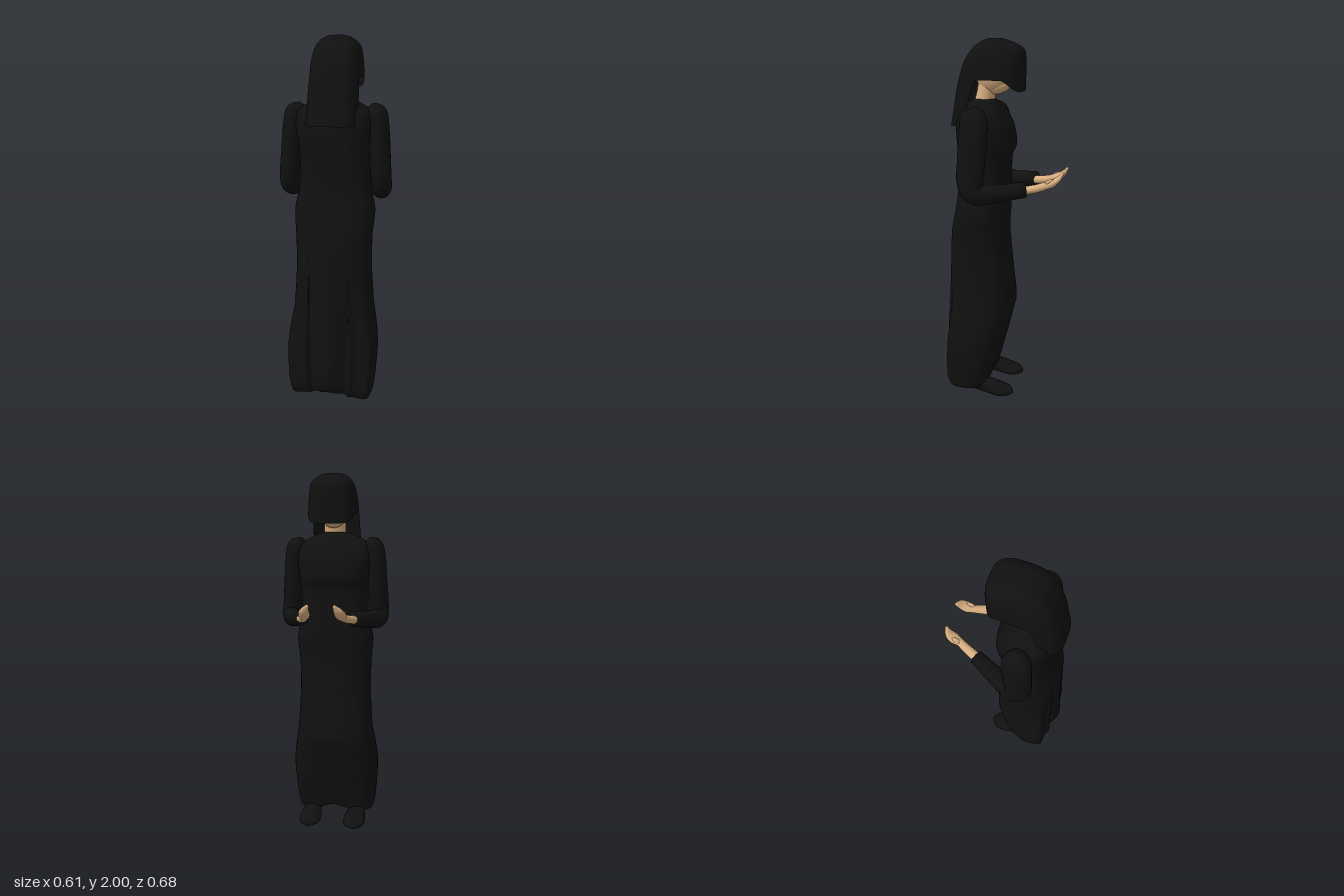
import * as THREE from 'three';

const cloth = new THREE.MeshStandardMaterial({ color: 0x101010, side: THREE.DoubleSide });
const skin = new THREE.MeshStandardMaterial({ color: 0xd8ae80 });
const shoeLeather = new THREE.MeshStandardMaterial({ color: 0x101010 });

// Smoothly interpolate rows of numbers into n + 1 rows
function sample(rows, n) {
  const curve = new THREE.CubicInterpolant(rows.map((r, i) => i), rows.flat(), rows[0].length);
  return Array.from({ length: n + 1 }, (_, i) => Array.from(curve.evaluate(i / n * (rows.length - 1))));
}

// Skin a stack of closed rings (counterclockwise around the stacking direction)
function loft(rings, capStart = true, capEnd = true) {
  const n = rings[0].length, pos = [], idx = [];
  rings.forEach(r => r.forEach(p => pos.push(p.x, p.y, p.z)));
  for (let i = 0; i < rings.length - 1; i++) {
    for (let j = 0; j < n; j++) {
      const k = (j + 1) % n, a = i * n + j, b = i * n + k;
      idx.push(a, b, b + n, a, b + n, a + n);
    }
  }
  const cap = (ring, start, flip) => {
    const c = new THREE.Vector3();
    ring.forEach(p => c.addScaledVector(p, 1 / n));
    const ci = pos.length / 3;
    pos.push(c.x, c.y, c.z);
    for (let j = 0; j < n; j++) {
      const a = start + j, b = start + (j + 1) % n;
      idx.push(ci, flip ? b : a, flip ? a : b);
    }
  };
  if (capStart) cap(rings[0], 0, true);
  if (capEnd) cap(rings[rings.length - 1], (rings.length - 1) * n, false);
  const g = new THREE.BufferGeometry();
  g.setAttribute('position', new THREE.Float32BufferAttribute(pos, 3));
  g.setIndex(idx);
  g.computeVertexNormals();
  return g;
}

// Limb along rows of [x, y, z, half width, half thickness]
function limb(rows, side, steps = 24, sides = 20) {
  const pts = sample(rows, steps);
  const at = i => new THREE.Vector3(side * pts[i][0], pts[i][1], pts[i][2]);
  return loft(pts.map(([, , , w, h], i) => {
    const t = at(Math.min(i + 1, steps)).sub(at(Math.max(i - 1, 0))).normalize();
    const s = new THREE.Vector3(1, 0, 0).addScaledVector(t, -t.x).normalize();
    const u = new THREE.Vector3().crossVectors(t, s);
    return Array.from({ length: sides }, (_, j) => {
      const a = j / sides * Math.PI * 2;
      return at(i).addScaledVector(s, w * Math.cos(a)).addScaledVector(u, h * Math.sin(a));
    });
  }));
}

// Point of a unit superellipse in the direction (x, z)
function rounded(x, z, e) {
  const r = Math.pow(Math.pow(Math.abs(x), e) + Math.pow(Math.abs(z), e), -1 / e);
  return [x * r, z * r];
}

// Robe: rounded sections above blending into a pleated hem section below
function robe() {
  const half = new THREE.CatmullRomCurve3([
    [0, 1], [0.16, 0.9], [0.33, 0.7], [0.41, 0.66], [0.5, 0.83], [0.6, 0.72], [0.78, 0.69],
    [0.92, 0.66], [1, 0.1], [0.98, -0.35], [0.8, -0.8], [0.4, -0.98], [0, -1],
  ].map(([x, z]) => new THREE.Vector3(x, 0, z))).getPoints(40);
  const hem = [...half, ...half.slice(1, -1).reverse().map(p => new THREE.Vector3(-p.x, 0, p.z))];
  // [y, half width, front z, back z, squareness, pleats]
  const rows = [
    [0.10, 0.19, 0.10, 0.27, 2.5, 1],
    [0.06, 0.215, 0.07, 0.30, 2.5, 1],
    [0.12, 0.232, 0.05, 0.33, 2.5, 1],
    [0.24, 0.242, 0.02, 0.335, 2.5, 1],
    [0.36, 0.245, -0.01, 0.332, 2.5, 0.9],
    [0.48, 0.23, -0.042, 0.325, 2.5, 0.7],
    [0.55, 0.217, -0.055, 0.32, 2.5, 0.55],
    [0.68, 0.207, -0.044, 0.31, 2.5, 0.35],
    [0.82, 0.202, -0.03, 0.30, 2.5, 0.18],
    [0.97, 0.206, -0.017, 0.288, 2.5, 0.05],
    [1.10, 0.216, -0.023, 0.26, 2.5, 0],
    [1.22, 0.192, -0.028, 0.245, 2.5, 0],
    [1.37, 0.188, -0.03, 0.245, 2.6, 0],
    [1.44, 0.195, -0.055, 0.248, 2.6, 0],
    [1.54, 0.21, -0.04, 0.25, 2.5, 0],
    [1.61, 0.2, -0.005, 0.235, 2.4, 0],
    [1.655, 0.145, 0.028, 0.205, 2.2, 0],
    [1.685, 0.075, 0.05, 0.175, 2, 0],
    [1.688, 0.05, 0.07, 0.16, 2, 0],
  ];
  return loft(sample(rows, 90).map(([y, w, zf, zb, e, f]) => hem.map(p => {
    const [rx, rz] = rounded(p.x, p.z, e);
    const x = THREE.MathUtils.lerp(rx, p.x, f), z = THREE.MathUtils.lerp(rz, p.z, f);
    // the hem lifts a little at the middle of the back and front
    const lift = 0.04 * Math.pow(1 - Math.min(1, Math.abs(p.x)), 1.5) * THREE.MathUtils.clamp((0.3 - y) / 0.2, 0, 1);
    return new THREE.Vector3(x * w, y + lift, (zf + zb) / 2 + z * (zb - zf) / 2);
  })));
}

// Head scarf: long down the back, cut high at the jaw, dipping over the face
function scarf() {
  // [y, half width, front z, back z]
  const rows = sample([
    [1.55, 0.147, -0.1, 0.285], [1.65, 0.14, -0.103, 0.267], [1.75, 0.134, -0.105, 0.25],
    [1.87, 0.126, -0.108, 0.215], [1.94, 0.112, -0.1, 0.172], [1.97, 0.092, -0.06, 0.14],
    [1.99, 0.066, -0.01, 0.105], [2.0, 0.035, 0.03, 0.08],
  ], 140);
  const profile = y => {
    const k = Math.max(1, rows.findIndex(r => r[0] >= y - 1e-6));
    const a = rows[k - 1], b = rows[k], t = (y - a[0]) / (b[0] - a[0]);
    return a.map((v, i) => THREE.MathUtils.lerp(v, b[i], t));
  };
  const rings = [], steps = 32, sides = 96;
  for (let i = 0; i <= steps; i++) {
    const v = 1 - Math.pow(1 - i / steps, 1.6);
    rings.push(Array.from({ length: sides }, (_, j) => {
      const a = j / sides * Math.PI * 2;
      const [x, z] = rounded(Math.sin(a), Math.cos(a), 3.2);
      const bottom = 1.79 - 0.24 * THREE.MathUtils.smoothstep(z, 0.36, 0.56)
        - 0.06 * THREE.MathUtils.smoothstep(-z, 0.4, 1);
      const [y, w, zf, zb] = profile(THREE.MathUtils.lerp(bottom, 2, v));
      return new THREE.Vector3(x * w, y, (zf + zb) / 2 + z * (zb - zf) / 2);
    }));
  }
  return loft(rings, false, true);
}

export function createModel() {
  const model = new THREE.Group();
  const add = (name, geometry, material) => {
    const mesh = new THREE.Mesh(geometry, material);
    mesh.name = name;
    model.add(mesh);
    return mesh;
  };

  add('robe', robe(), cloth);
  add('headScarf', scarf(), cloth);

  // Neck and bowed head
  add('neck', limb([[0, 1.64, 0.12, 0.066, 0.055], [0, 1.72, 0.1, 0.06, 0.052], [0, 1.84, 0.07, 0.065, 0.06]], 1), skin);
  const head = add('head', new THREE.SphereGeometry(1, 32, 24), skin);
  head.scale.set(0.088, 0.12, 0.1);
  head.position.set(0, 1.83, 0.055);
  head.rotation.x = -0.2;
  const jaw = add('jaw', new THREE.SphereGeometry(1, 24, 16), skin);
  jaw.scale.set(0.06, 0.045, 0.075);
  jaw.position.set(0, 1.757, 0.035);
  jaw.rotation.x = 0.3;

  for (const side of [-1, 1]) {
    const prefix = side > 0 ? 'left' : 'right';
    // Sleeve bent at the elbow
    add(prefix + 'Sleeve', limb([
      [0.185, 1.648, 0.105, 0.02, 0.03], [0.213, 1.61, 0.105, 0.055, 0.068], [0.23, 1.54, 0.107, 0.054, 0.076],
      [0.24, 1.4, 0.115, 0.055, 0.075], [0.249, 1.28, 0.122, 0.054, 0.07], [0.248, 1.218, 0.095, 0.053, 0.058],
      [0.212, 1.215, 0.01, 0.05, 0.048], [0.142, 1.232, -0.147, 0.038, 0.042],
    ], side, 48, 24), cloth);
    // Bare forearm and open, upturned hand
    add(prefix + 'Hand', limb([
      [0.155, 1.222, -0.11, 0.028, 0.022], [0.122, 1.236, -0.2, 0.025, 0.022], [0.102, 1.25, -0.25, 0.022, 0.021],
      [0.096, 1.262, -0.282, 0.03, 0.021], [0.088, 1.286, -0.314, 0.026, 0.015], [0.068, 1.318, -0.336, 0.008, 0.007],
    ], side, 30, 16), skin);
    add(prefix + 'Thumb', limb([
      [0.106, 1.255, -0.248, 0.01, 0.01], [0.108, 1.274, -0.268, 0.013, 0.01], [0.104, 1.284, -0.292, 0.006, 0.005],
    ], side, 12, 12), skin);
    // Ankle and shoe
    add(prefix + 'Ankle', limb([[0.13, 0.06, 0.14, 0.035, 0.035], [0.125, 0.3, 0.15, 0.04, 0.045]], side, 4, 16), skin);
    add(prefix + 'Shoe', limb([
      [0.13, 0.07, 0.2, 0.015, 0.012], [0.13, 0.068, 0.17, 0.045, 0.034], [0.13, 0.058, 0.1, 0.05, 0.042],
      [0.13, 0.036, 0, 0.063, 0.035], [0.13, 0.03, -0.05, 0.05, 0.023], [0.13, 0.025, -0.08, 0.015, 0.01],
    ], side), shoeLeather);
  }
  return model;
}
